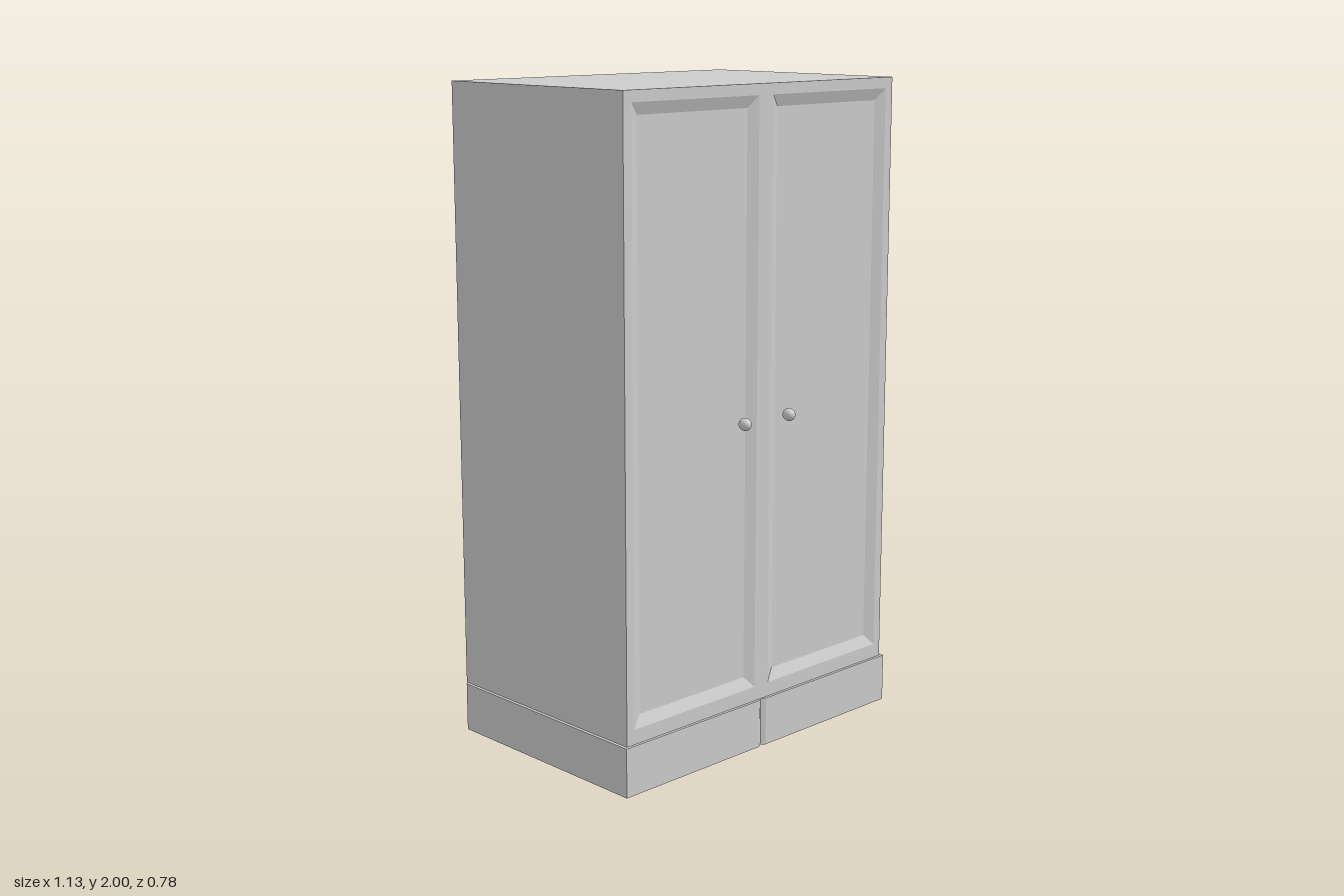
import * as THREE from 'three';

const grey = new THREE.MeshStandardMaterial({ color: 0xcccccc, flatShading: true, side: THREE.DoubleSide });
const smooth = new THREE.MeshStandardMaterial({ color: 0xcccccc });

const W = 0.555, BACK = -0.39, FRONT = 0.347;  // cabinet half width and depth range
const PW = 0.565, PFRONT = 0.356;              // plinth half width and front
const PLINTH = 0.15, TOP = 2, RECESS = 0.015;

function add(group, name, geometry, material = grey) {
  const mesh = new THREE.Mesh(geometry, material);
  mesh.name = name;
  group.add(mesh);
  return mesh;
}

// Strip of quads joining two rows of points [x, y, z]
function strip(a, b) {
  const pos = [];
  for (let i = 0; i < a.length - 1; i++) {
    pos.push(...a[i], ...a[i + 1], ...b[i + 1], ...a[i], ...b[i + 1], ...b[i]);
  }
  const g = new THREE.BufferGeometry();
  g.setAttribute('position', new THREE.Float32BufferAttribute(pos, 3));
  g.computeVertexNormals();
  return g;
}

// Closed rectangle in the front plane, counter-clockwise
const rect = (x0, x1, y0, y1, z) =>
  [[x0, y0, z], [x1, y0, z], [x1, y1, z], [x0, y1, z], [x0, y0, z]];
const flat = (pts) => pts.map(([x, y]) => new THREE.Vector2(x, y));
const atHeight = (plan, y) => plan.map(([x, z]) => [x, y, z]);

// Horizontal sheet from a plan outline of [x, z]
function sheet(plan, y, up) {
  const g = new THREE.ShapeGeometry(new THREE.Shape(plan.map(([x, z]) => new THREE.Vector2(x, up ? -z : z))));
  return g.rotateX(up ? -Math.PI / 2 : Math.PI / 2).translate(0, y, 0);
}

export function createModel() {
  const model = new THREE.Group();
  model.name = 'wardrobe';

  // Cabinet shell, open at the back
  const bodyPlan = [[-W, BACK], [-W, FRONT], [W, FRONT], [W, BACK]];
  add(model, 'top', sheet(bodyPlan, TOP, true));
  for (const s of [-1, 1]) {
    const edge = s < 0 ? [[-W, BACK], [-W, FRONT]] : [[W, FRONT], [W, BACK]];
    add(model, s < 0 ? 'rightSide' : 'leftSide', strip(atHeight(edge, PLINTH), atHeight(edge, TOP)));
  }

  // Front frame with two bevelled, sunken door panels
  const frame = new THREE.Shape(flat(rect(-W, W, PLINTH, TOP, FRONT).slice(0, 4)));
  const doors = [['rightDoor', -0.525, -0.03, -0.1], ['leftDoor', 0.028, 0.525, 0.088]];
  for (const [name, x0, x1, knobX] of doors) {
    const door = new THREE.Group();
    door.name = name;
    model.add(door);
    const outer = rect(x0, x1, 0.195, 1.967, FRONT);
    const inner = rect(x0 + 0.033, x1 - 0.033, 0.23, 1.932, FRONT - RECESS);
    frame.holes.push(new THREE.Path(flat(outer.slice(0, 4)).reverse()));
    add(door, 'panelBevel', strip(outer, inner));
    add(door, 'panel', new THREE.ShapeGeometry(new THREE.Shape(flat(inner.slice(0, 4))))
      .translate(0, 0, FRONT - RECESS));
    // Egg-shaped knob
    const knob = add(door, 'knob', new THREE.SphereGeometry(1, 24, 16), smooth);
    knob.scale.set(0.0175, 0.019, 0.021);
    knob.position.set(knobX, 1.025, 0.367);
  }
  add(model, 'doorFrame', new THREE.ShapeGeometry(frame).translate(0, 0, FRONT));

  // Plinth with clipped back corners and a V groove in the middle of the front
  const plinthPlan = [
    [-W, BACK], [-PW, -0.378], [-PW, PFRONT], [-0.017, PFRONT], [-0.002, 0.347],
    [0.012, PFRONT], [PW, PFRONT], [PW, -0.378], [W, BACK],
  ];
  add(model, 'plinthWall', strip(atHeight(plinthPlan, 0), atHeight(plinthPlan, PLINTH)));
  add(model, 'floor', sheet(plinthPlan, 0, false));

  // Narrow ledge between plinth and cabinet
  const ledgeInner = plinthPlan.map(([x, z]) =>
    [THREE.MathUtils.clamp(x, -W, W), Math.min(z, FRONT)]);
  add(model, 'plinthLedge', strip(atHeight(plinthPlan, PLINTH), atHeight(ledgeInner, PLINTH)));

  return model;
}
